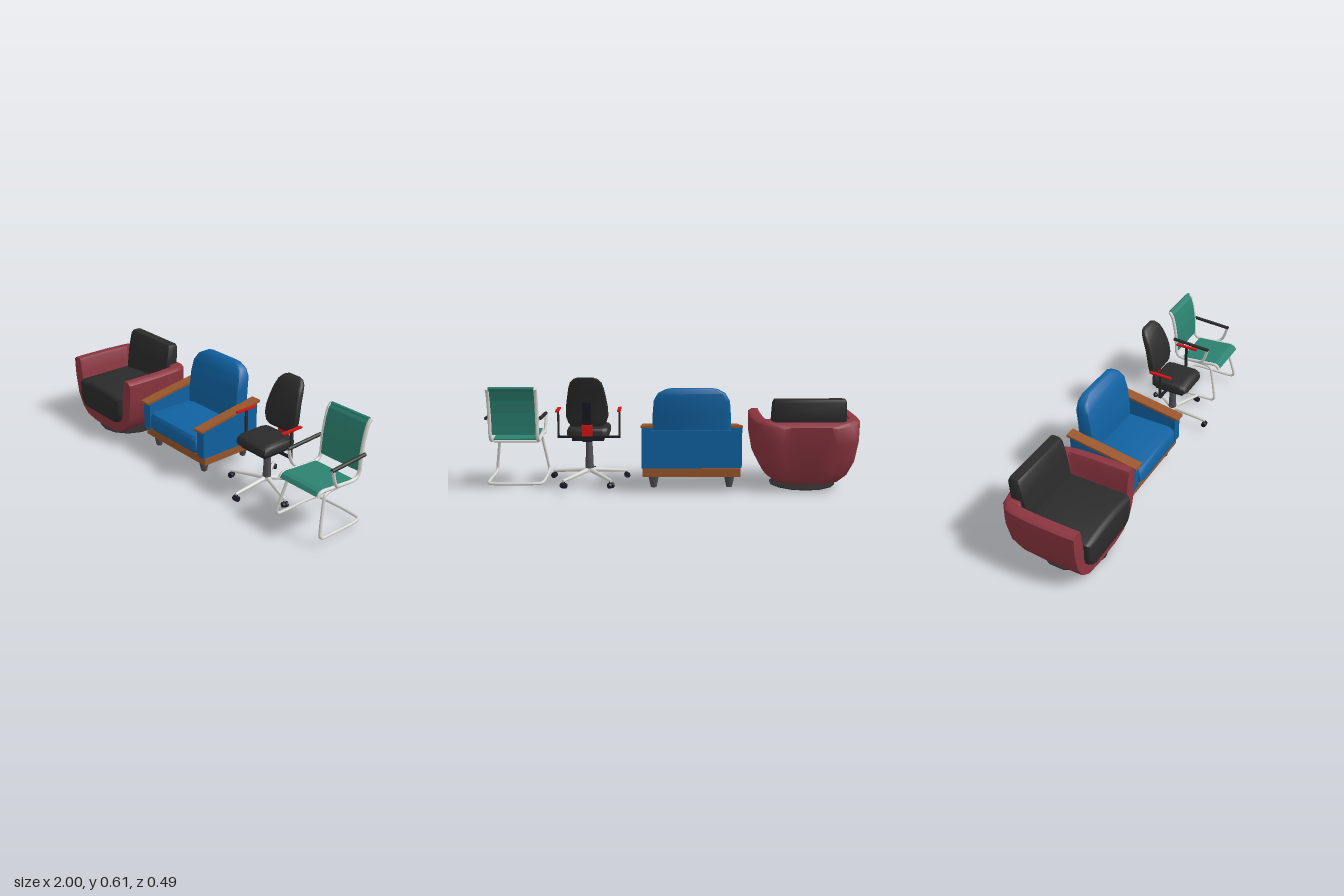
import * as THREE from 'three';
import { toCreasedNormals } from 'three/addons/utils/BufferGeometryUtils.js';

const V = (x, y, z) => new THREE.Vector3(x, y, z);
const mat = (name, color, side = THREE.FrontSide) => {
  const m = new THREE.MeshStandardMaterial({ color, side });
  m.name = name;
  return m;
};
const maroon = mat('maroon leather', 0x8c3540), charcoal = mat('charcoal fabric', 0x2b2b2b);
const blue = mat('blue fabric', 0x1062a2), wood = mat('wood', 0x98562c);
const grey = mat('grey metal', 0x505056), silver = mat('silver metal', 0xd6d6d4);
const navy = mat('dark plastic', 0x191a26), red = mat('red plastic', 0xd01414);
const green = mat('green mesh', 0x2c8270);

function add(parent, name, geo, material, x = 0, y = 0, z = 0) {
  const m = new THREE.Mesh(geo, material);
  m.name = name;
  m.position.set(x, y, z);
  parent.add(m);
  return m;
}

// Closed solid through rings of equal length; caps pair point j with point n-1-j
function loft(rings, crease = 0.7) {
  const n = rings[0].length, pos = [], idx = [];
  rings.flat().forEach(p => pos.push(p.x, p.y, p.z));
  const quad = (a, b, c, d) => idx.push(a, b, c, a, c, d);
  for (let i = 0; i < rings.length - 1; i++)
    for (let j = 0; j < n; j++) {
      const k = (j + 1) % n;
      quad(i * n + j, i * n + k, (i + 1) * n + k, (i + 1) * n + j);
    }
  const e = (rings.length - 1) * n;
  for (let j = 0; j < n / 2 - 1; j++) {
    quad(n - 1 - j, n - 2 - j, j + 1, j);
    quad(e + j, e + j + 1, e + n - 2 - j, e + n - 1 - j);
  }
  const g = new THREE.BufferGeometry();
  g.setAttribute('position', new THREE.Float32BufferAttribute(pos, 3));
  g.setIndex(idx);
  return toCreasedNormals(g, crease);
}

// Cushion stacked from rounded rectangles: [y, half width, half depth, z centre]
function cushion(levels, round = 0.5) {
  return loft(levels.map(([y, hw, hd, zc]) => {
    const r = Math.min(hw, hd) * round, ring = [];
    [[1, 1], [-1, 1], [-1, -1], [1, -1]].forEach(([sx, sz], q) => {
      for (let k = 0; k < 3; k++) {
        const a = (q + k / 2) * Math.PI / 2;
        ring.push(V(sx * (hw - r) + r * Math.cos(a), y, zc - sz * (hd - r) - r * Math.sin(a)));
      }
    });
    return ring;
  }));
}

// Side profile of [z, y] points, given thickness w across x
function sideSlab(pts, w) {
  const g = new THREE.ExtrudeGeometry(new THREE.Shape(pts.map(p => new THREE.Vector2(...p))), { depth: w, bevelEnabled: false });
  return g.translate(0, 0, -w / 2).rotateY(-Math.PI / 2);
}

function rod(parent, name, a, b, r0, r1, material, sides = 10) {
  const d = b.clone().sub(a);
  const m = add(parent, name, new THREE.CylinderGeometry(r1, r0, d.length(), sides), material);
  m.position.copy(a).addScaledVector(d, 0.5);
  m.quaternion.setFromUnitVectors(V(0, 1, 0), d.normalize());
  return m;
}

const tube = (pts, r, seg = 40) =>
  new THREE.TubeGeometry(new THREE.CatmullRomCurve3(pts.map(p => V(...p)), false, 'centripetal'), seg, r, 8);

function group(parent, name, x) {
  const g = new THREE.Group();
  g.name = name;
  g.position.x = x;
  parent.add(g);
  return g;
}

function tubChair(root) {
  const g = group(root, 'tubChair', -0.71);
  // U-shaped shell, filled in behind the back cushion
  const outer = [[.265, .388], [.288, .372], [.285, .27], [.265, .16], [.225, .085], [.17, .045], [.08, .03]];
  const inner = [[.232, .385], [.226, .37], [.214, .3], [.205, .22], [.195, .16], [.15, .13], [.07, .13]];
  const both = half => [...half, ...half.map(([x, y]) => [-x, y]).reverse()];
  // z, width scale, bottom lift, top drop, rear slope weight, filled
  const rings = [[.215, .99, 0, 0, 0, 0], [.18, 1, 0, 0, 0, 0], [0, 1, 0, 0, 0, 0], [-.12, .97, 0, 0, .2, 0], [-.14, .96, 0, 0, .3, 1],
    [-.19, .92, .005, 0, .7, 1], [-.23, .78, .02, .01, 1, 1], [-.25, .5, .05, .03, 1, 1]]
    .map(([z, s, lift, drop, w, filled]) => {
      const place = (x, y) => {
        y = y + lift * (1 - y / .39) - drop * y / .39;
        return V(x * s, y, z + w * (y < .33 ? (.33 - y) * .15 : (y - .33) * .4));
      };
      return [...both(outer).map(([x, y]) => place(x, y)),
        ...both(inner).reverse().map(([x, y]) => place(x, filled ? .385 : y))];
    });
  add(g, 'shell', loft(rings, 0.8), maroon);
  // Seat with rounded lower corners
  const s = new THREE.Shape();
  s.moveTo(-.14, .1); s.lineTo(.14, .1);
  s.quadraticCurveTo(.195, .11, .205, .18); s.lineTo(.2, .265);
  s.quadraticCurveTo(0, .3, -.2, .265); s.lineTo(-.205, .18);
  s.quadraticCurveTo(-.195, .11, -.14, .1);
  const seat = new THREE.ExtrudeGeometry(s, { depth: .32, bevelSize: .022, bevelOffset: -.022, bevelThickness: .03, bevelSegments: 3, curveSegments: 6 });
  add(g, 'seatCushion', toCreasedNormals(seat, 0.6), charcoal, 0, 0, -.105);
  add(g, 'backCushion', cushion([[.2, .18, .04, -.13], [.26, .197, .045, -.14], [.4, .197, .042, -.158], [.48, .193, .036, -.17], [.498, .186, .026, -.173]]), charcoal);
  // Swivel foot
  add(g, 'footDisc', new THREE.CylinderGeometry(.06, .18, .018, 14), charcoal, 0, .012, .028);
  add(g, 'footRim', new THREE.CylinderGeometry(.18, .18, .004, 14), charcoal, 0, .002, .028);
  add(g, 'footNeck', new THREE.CylinderGeometry(.05, .05, .03, 12), charcoal, 0, .03, .028);
}

function woodArmchair(root) {
  const g = group(root, 'woodArmchair', -0.095);
  for (const s of [-1, 1]) {
    add(g, 'sidePanel', sideSlab([[.17, .137], [.17, .293], [-.207, .352], [-.207, .137]].reverse(), .055), blue, s * .235);
    add(g, 'armRest', sideSlab([[.188, .29], [.188, .303], [-.227, .368], [-.227, .355]].reverse(), .062), wood, s * .234);
    add(g, 'baseRail', new THREE.BoxGeometry(.04, .046, .365), wood, s * .237, .113, -.026);
    for (const z of [.115, -.165])
      add(g, 'leg', new THREE.CylinderGeometry(.03, .016, .065, 10), grey, s * .2, .06, z);
  }
  for (const z of [.137, -.189]) add(g, 'baseCrossRail', new THREE.BoxGeometry(.474, .046, .04), wood, 0, .113, z);
  add(g, 'underside', new THREE.BoxGeometry(.46, .03, .34), blue, 0, .122, -.026);
  add(g, 'backPanel', new THREE.BoxGeometry(.43, .2, .02), blue, 0, .237, -.197);
  // Crowned seat and domed back
  add(g, 'seatCushion', cushion([[.137, .2, .165, -.005], [.16, .208, .18, .004], [.22, .208, .178, .004], [.24, .2, .168, 0], [.252, .14, .12, -.01]], .2), blue);
  add(g, 'backCushion', cushion([[.2, .2, .042, -.14], [.3, .207, .045, -.147], [.42, .204, .044, -.158], [.49, .198, .04, -.172],
    [.53, .175, .031, -.181], [.552, .135, .02, -.188], [.559, .1, .01, -.192]]), blue);
}

function swivelChair(root) {
  const g = group(root, 'swivelChair', 0.456), zc = -.016;
  add(g, 'column', new THREE.CylinderGeometry(.017, .023, .17, 12), grey, 0, .175, zc);
  add(g, 'hub', new THREE.CylinderGeometry(.024, .028, .022, 12), silver, 0, .086, zc);
  // Five star legs with twin casters
  for (let i = 0; i < 5; i++) {
    const a = i * Math.PI * 2 / 5, at = (r, y) => V(Math.sin(a) * r, y, zc + Math.cos(a) * r);
    rod(g, 'starLeg', at(.01, .087), at(.215, .065), .013, .008, silver, 8);
    rod(g, 'casterStem', at(.207, .04), at(.207, .068), .006, .006, navy, 6);
    for (const s of [-1, 1]) {
      const side = V(Math.cos(a), 0, -Math.sin(a)), c = at(.212, .04);
      rod(g, 'casterWheel', c.clone().addScaledVector(side, s * .003), c.clone().addScaledVector(side, s * .016), .016, .014, navy);
    }
  }
  add(g, 'seatPan', new THREE.BoxGeometry(.17, .025, .17), navy, 0, .272, 0);
  add(g, 'seat', cushion([[.278, .1, .1, .003], [.29, .113, .112, .004], [.315, .113, .11, .002], [.328, .105, .1, 0], [.334, .08, .075, -.005]], .3), charcoal);
  // Curved backrest, narrowing to the top
  add(g, 'backrest', cushion([[.345, .08, .012, -.106], [.362, .1, .018, -.106], [.4, .112, .019, -.108], [.45, .11, .02, -.116], [.5, .102, .02, -.13],
    [.55, .093, .02, -.15], [.585, .082, .018, -.167], [.605, .064, .013, -.18], [.614, .042, .006, -.187]], .7), charcoal);
  add(g, 'backBracket', new THREE.BoxGeometry(.05, .014, .12), navy, 0, .272, -.08);
  add(g, 'backUpright', sideSlab([[-.115, .268], [-.135, .268], [-.14, .38], [-.16, .48], [-.14, .48], [-.122, .38]].reverse(), .045), navy);
  add(g, 'backCollar', new THREE.BoxGeometry(.054, .06, .03), red, 0, .325, -.127);
  // Armrests on a cross bar
  add(g, 'armCrossBar', new THREE.BoxGeometry(.34, .01, .016), navy, 0, .268, zc);
  for (const s of [-1, 1]) {
    add(g, 'armPost', new THREE.BoxGeometry(.01, .152, .014), charcoal, s * .165, .339, zc);
    add(g, 'armPad', new THREE.BoxGeometry(.018, .008, .13), red, s * .165, .418, -.015);
  }
}

function cantileverChair(root) {
  const g = group(root, 'cantileverChair', 0.844);
  // Seat and back line, as [z, y]
  const line = [[.155, .258], [.143, .275], [.125, .281], [.07, .276], [0, .27], [-.085, .264], [-.115, .275], [-.128, .3],
    [-.131, .35], [-.137, .42], [-.15, .49], [-.165, .535], [-.182, .556]];
  for (const s of [-1, 1]) {
    add(g, 'sideTube', tube(line.map(([z, y]) => [s * .125, y, z]), .0095, 60), silver);
    add(g, 'armSupport', tube([[s * .143, .385, .086], [s * .143, .365, .079], [s * .143, .32, .067], [s * .141, .29, .05], [s * .128, .272, .025]], .0085, 16), silver);
    add(g, 'armBrace', tube([[s * .143, .388, -.13], [s * .125, .386, -.135]], .007, 4), silver);
    rod(g, 'armRest', V(s * .143, .381, .09), V(s * .143, .392, -.138), .0095, .0095, charcoal, 8);
  }
  // One continuous floor frame, closed at the rear
  const leg = [[.11, .254, -.065], [.115, .253, .08], [.118, .243, .1], [.121, .22, .108], [.142, .085, .143], [.146, .055, .147],
    [.147, .042, .133], [.147, .039, .1], [.146, .039, -.1], [.138, .039, -.13], [.12, .039, -.14]];
  add(g, 'floorFrame', tube([...leg, ...leg.map(([x, y, z]) => [-x, y, z]).reverse()], .008, 160), silver);
  rod(g, 'seatCrossBar', V(-.12, .254, -.06), V(.12, .254, -.06), .007, .007, silver, 8);
  // Stretched mesh seat and back
  const strip = (pts, t) => {
    const off = pts.map(([z, y], i) => {
      const a = pts[Math.max(i - 1, 0)], b = pts[Math.min(i + 1, pts.length - 1)];
      const dz = b[0] - a[0], dy = b[1] - a[1], l = Math.hypot(dz, dy);
      return [z + dy / l * t, y - dz / l * t];
    });
    return sideSlab([...pts, ...off.reverse()], .236);
  };
  add(g, 'meshSeat', strip(line.slice(0, 6), .008), green);
  add(g, 'meshBack', strip(line.slice(7), .008), green);
  rod(g, 'backTopRoll', V(-.118, .556, -.178), V(.118, .556, -.178), .009, .009, green, 8);
}

export function createModel() {
  const root = new THREE.Group();
  root.name = 'chairs';
  [tubChair, woodArmchair, swivelChair, cantileverChair].forEach(build => build(root));
  return root;
}
